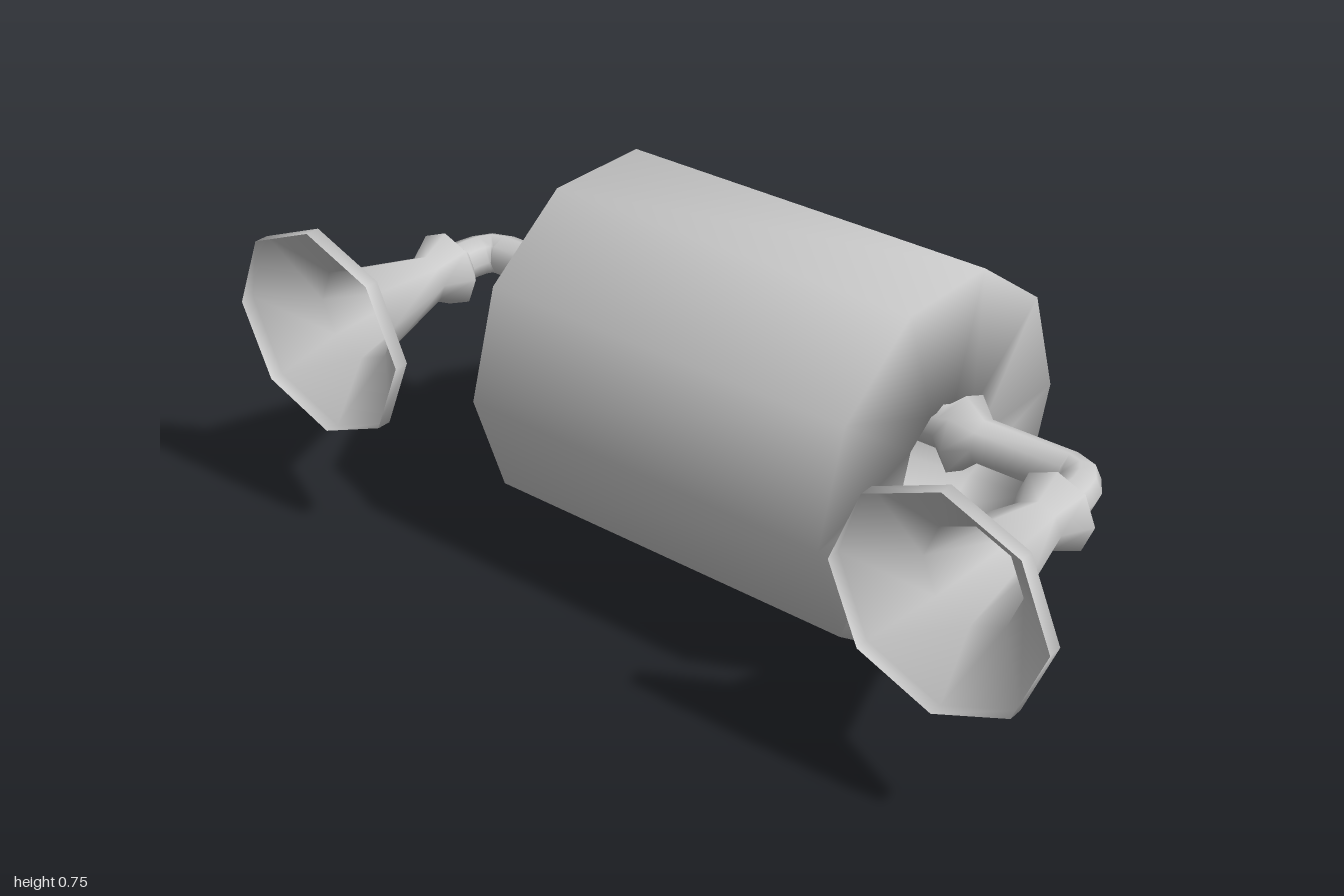
import * as THREE from 'three';
import { mergeVertices } from 'three/addons/utils/BufferGeometryUtils.js';

const AXIS_Y = 0.463; // height of the rod and both flanges
const AXIS_Z = -0.055; // depth of the rod and the roll

const material = new THREE.MeshStandardMaterial({ color: 0xcccccc, side: THREE.DoubleSide });

function makeMesh(name, geometry) {
  const mesh = new THREE.Mesh(geometry, material);
  mesh.name = name;
  return mesh;
}

// Turned part from [position along axis, radius] pairs, smooth all over
function turned(profile, sides) {
  const points = profile.map(([along, radius]) => new THREE.Vector2(radius, along));
  const lathe = new THREE.LatheGeometry(points, sides);
  lathe.deleteAttribute('uv');
  lathe.deleteAttribute('normal');
  const geometry = mergeVertices(lathe, 1e-4);
  geometry.computeVertexNormals();
  return geometry;
}

export function createModel() {
  const model = new THREE.Group();
  model.name = 'rollHolder';

  // Ten-sided roll with a hole through it
  const half = 0.437;
  const roll = makeMesh('roll', turned([
    [-half, 0.13], [-half, 0.395], [half, 0.395], [half, 0.13], [-half, 0.13],
  ], 10).rotateZ(-Math.PI / 2));
  roll.position.set(0, 0.376, AXIS_Z);
  model.add(roll);

  // Rod through the roll, with a pointed collar near each end
  const rodHalf = [[0.445, 0.046], [0.488, 0.083], [0.53, 0.045], [0.72, 0.045]];
  const rodProfile = [...rodHalf.map(([x, r]) => [-x, r]).reverse(), ...rodHalf];
  const rod = makeMesh('rod', turned(rodProfile, 8).rotateZ(-Math.PI / 2));
  rod.position.set(0, AXIS_Y, AXIS_Z);
  model.add(rod);

  // Elbow and flared wall flange on each side
  const flangeProfile = [
    [0.035, 0.045], [0.07, 0.085], [0.13, 0.052],
    [0.335, 0.105], [0.417, 0.23], [0.448, 0.23],
  ];
  for (const [side, s] of [['left', 1], ['right', -1]]) {
    const bend = new THREE.QuadraticBezierCurve3(
      new THREE.Vector3(s * 0.72, AXIS_Y, AXIS_Z),
      new THREE.Vector3(s * 0.77, AXIS_Y, AXIS_Z),
      new THREE.Vector3(s * 0.77, AXIS_Y, 0.037),
    );
    model.add(makeMesh(side + 'Elbow', new THREE.TubeGeometry(bend, 4, 0.045, 8)));

    const flange = makeMesh(side + 'Flange', turned(flangeProfile, 8).rotateX(Math.PI / 2));
    flange.position.set(s * 0.77, AXIS_Y, 0);
    model.add(flange);
  }

  return model;
}
